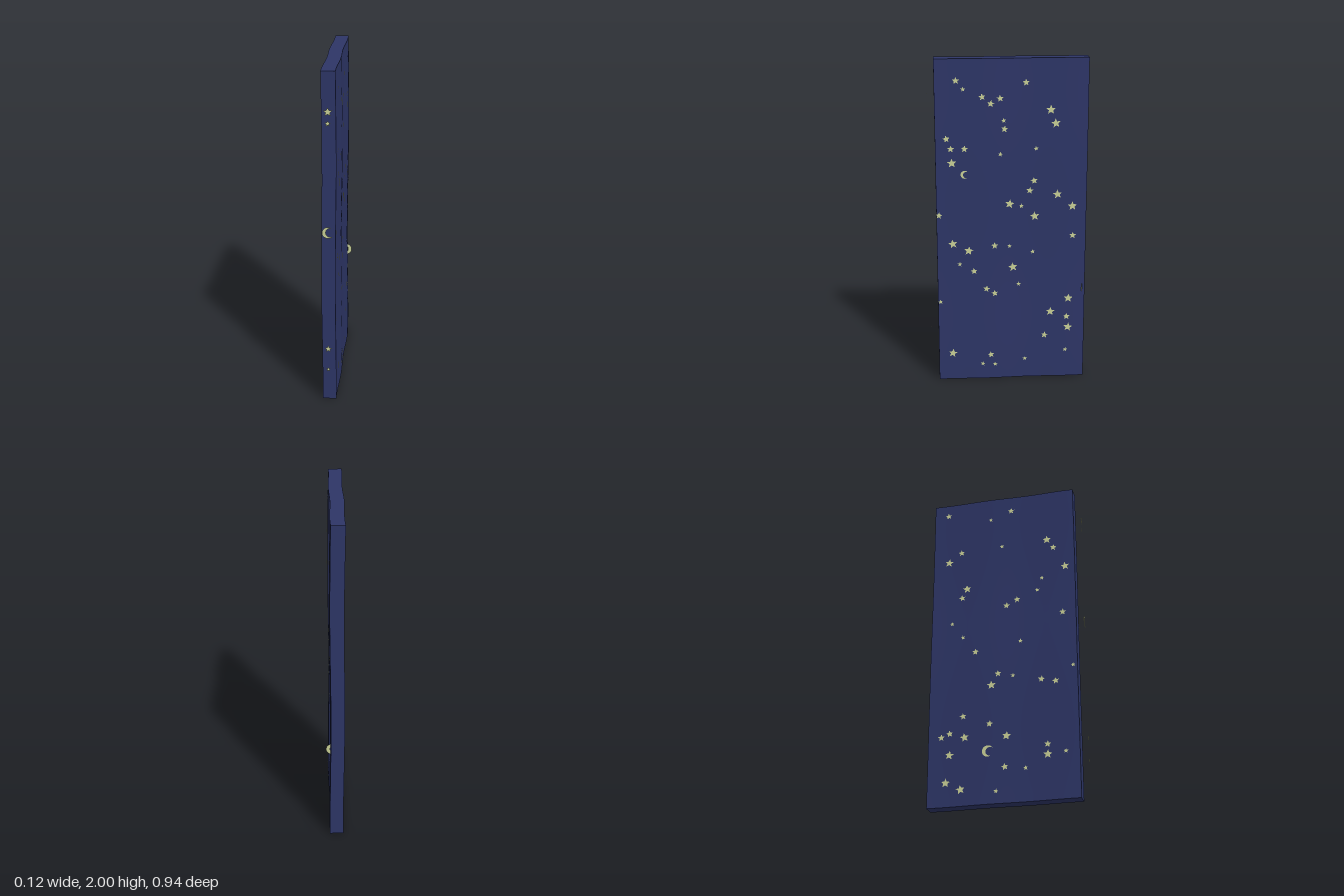
import * as THREE from 'three';

const navy = new THREE.MeshStandardMaterial({ color: 0x2d3566 });
navy.name = 'night blue';
const glow = new THREE.MeshStandardMaterial({ color: 0xc9d096, side: THREE.DoubleSide });
glow.name = 'pale glow yellow';

// Gentle warp of the panel along x
const wave = (y, z) => 0.003 * Math.sin(y * 4.5 + 1.2) + 0.003 * Math.sin(z * 13);

// Unit five-pointed star
function starGeometry() {
  const s = new THREE.Shape();
  for (let i = 0; i < 10; i++) {
    const r = i % 2 ? 0.45 : 1, a = Math.PI / 2 + (i * Math.PI) / 5;
    s[i ? 'lineTo' : 'moveTo'](r * Math.cos(a), r * Math.sin(a));
  }
  s.closePath();
  return new THREE.ShapeGeometry(s);
}

// Unit crescent, horns towards +x
function moonGeometry() {
  const s = new THREE.Shape();
  s.absarc(0, 0, 1, Math.PI / 4, Math.PI * 1.75, false);
  s.absarc(0.4, 0, 0.771, -1.16, 1.16, true);
  return new THREE.ShapeGeometry(s, 16);
}

// Star centres [z, y] on the +x face, grouped by radius
const leftStars = [
  { r: 0.029, at: [[-0.25, 1.7], [-0.28, 1.62], [-0.01, 1.135], [-0.16, 1.055], [-0.385, 1.115],
    [-0.37, 0.335], [-0.03, 0.735], [-0.26, 0.44], [-0.37, 0.525], [0.33, 0.89], [0.235, 0.845],
    [0.33, 1.39], [-0.295, 1.19], [0.34, 0.18]] },
  { r: 0.022, at: [[0.3, 1.875], [0.15, 1.78], [0.1, 1.74], [0.045, 1.77], [-0.105, 1.86],
    [0.02, 1.59], [0.36, 1.535], [0.335, 1.475], [0.255, 1.475], [-0.155, 1.275], [-0.13, 1.215],
    [0.08, 0.875], [0.205, 0.715], [0.13, 0.6], [0.08, 0.57], [-0.36, 0.405], [-0.225, 0.285],
    [0.105, 0.165], [0.41, 1.07], [-0.39, 0.93]] },
  { r: 0.015, at: [[0.26, 1.825], [0.025, 1.64], [0.045, 1.44], [-0.165, 1.47], [-0.08, 1.12],
    [-0.01, 0.87], [-0.15, 0.83], [0.29, 0.76], [-0.065, 0.625], [0.41, 0.52], [0.155, 0.105],
    [0.08, 0.1], [-0.105, 0.13], [-0.355, 0.185]] },
];

// Star centres [z, y] on the -x face
const rightStars = [
  { r: 0.028, at: [[0.255, 1.66], [0.365, 1.46], [-0.37, 1.58], [-0.25, 1.38], [-0.09, 0.72],
    [0.0, 0.4], [-0.25, 0.41], [0.24, 0.27], [-0.36, 0.145], [-0.27, 0.1], [-0.34, 0.31]] },
  { r: 0.022, at: [[0.03, 1.9], [-0.38, 1.92], [0.295, 1.6], [-0.29, 1.64], [0.065, 1.27],
    [0.0, 1.235], [-0.28, 1.32], [0.345, 1.15], [-0.19, 0.945], [0.295, 0.71], [0.21, 0.73],
    [-0.05, 0.79], [-0.26, 0.54], [-0.1, 0.48], [-0.34, 0.44], [-0.39, 0.42], [0.24, 0.33],
    [-0.01, 0.215]] },
  { r: 0.015, at: [[-0.1, 1.85], [-0.03, 1.65], [0.22, 1.4], [0.19, 1.32], [-0.34, 1.15],
    [0.085, 0.99], [-0.27, 1.05], [0.04, 0.77], [0.345, 0.28], [0.11, 0.2], [-0.06, 0.075],
    [0.4, 0.8]] },
];

export function createModel() {
  const model = new THREE.Group();
  model.name = 'starryPanel';

  // Slightly warped slab
  const slab = new THREE.BoxGeometry(0.08, 1.996, 0.895, 1, 40, 32);
  slab.translate(-0.011, 1.002, -0.0225);
  const p = slab.attributes.position;
  for (let i = 0; i < p.count; i++) p.setX(i, p.getX(i) + wave(p.getY(i), p.getZ(i)));
  slab.computeVertexNormals();
  const panel = new THREE.Mesh(slab, navy);
  panel.name = 'panel';
  model.add(panel);

  const star = starGeometry(), moon = moonGeometry();
  const place = (geometry, name, parent, x, y, z, r, turn, spin) => {
    const m = new THREE.Mesh(geometry, glow);
    m.name = name;
    m.position.set(x, y, z);
    m.rotation.set(0, turn, spin);
    m.scale.set(r, r, 1);
    parent.add(m);
  };

  // Stars and moons on the two broad faces
  const decorate = (name, side, sets, [mz, my, mr]) => {
    const group = new THREE.Group();
    group.name = name;
    const put = (geometry, label, z, y, r, spin) =>
      place(geometry, label, group, -0.011 + side * 0.045 + wave(y, z), y, z, r, side * Math.PI / 2, spin);
    for (const { r, at } of sets)
      at.forEach(([z, y], i) => put(star, 'star', z, y, r, 0.15 * Math.sin(i * 2.3)));
    put(moon, 'moon', mz, my, mr, -0.2);
    model.add(group);
  };
  decorate('leftFaceStars', 1, leftStars, [0.255, 1.32, 0.024]);
  decorate('rightFaceStars', -1, rightStars, [-0.11, 0.316, 0.034]);

  // Plates hovering in front of the narrow front edge
  const front = new THREE.Group();
  front.name = 'frontEdgeStars';
  for (const [y, r] of [[1.787, 0.027], [1.722, 0.018], [0.36, 0.023], [0.225, 0.015]])
    place(star, 'star', front, -0.013, y, 0.468, r, 0, 0);
  place(moon, 'moon', front, -0.013, 1.09, 0.468, 0.034, 0, 0.15);
  model.add(front);

  // Moon poking out beside the back edge
  place(moon, 'backMoon', model, 0.018, 0.602, -0.45, 0.037, 0, Math.PI);
  return model;
}
